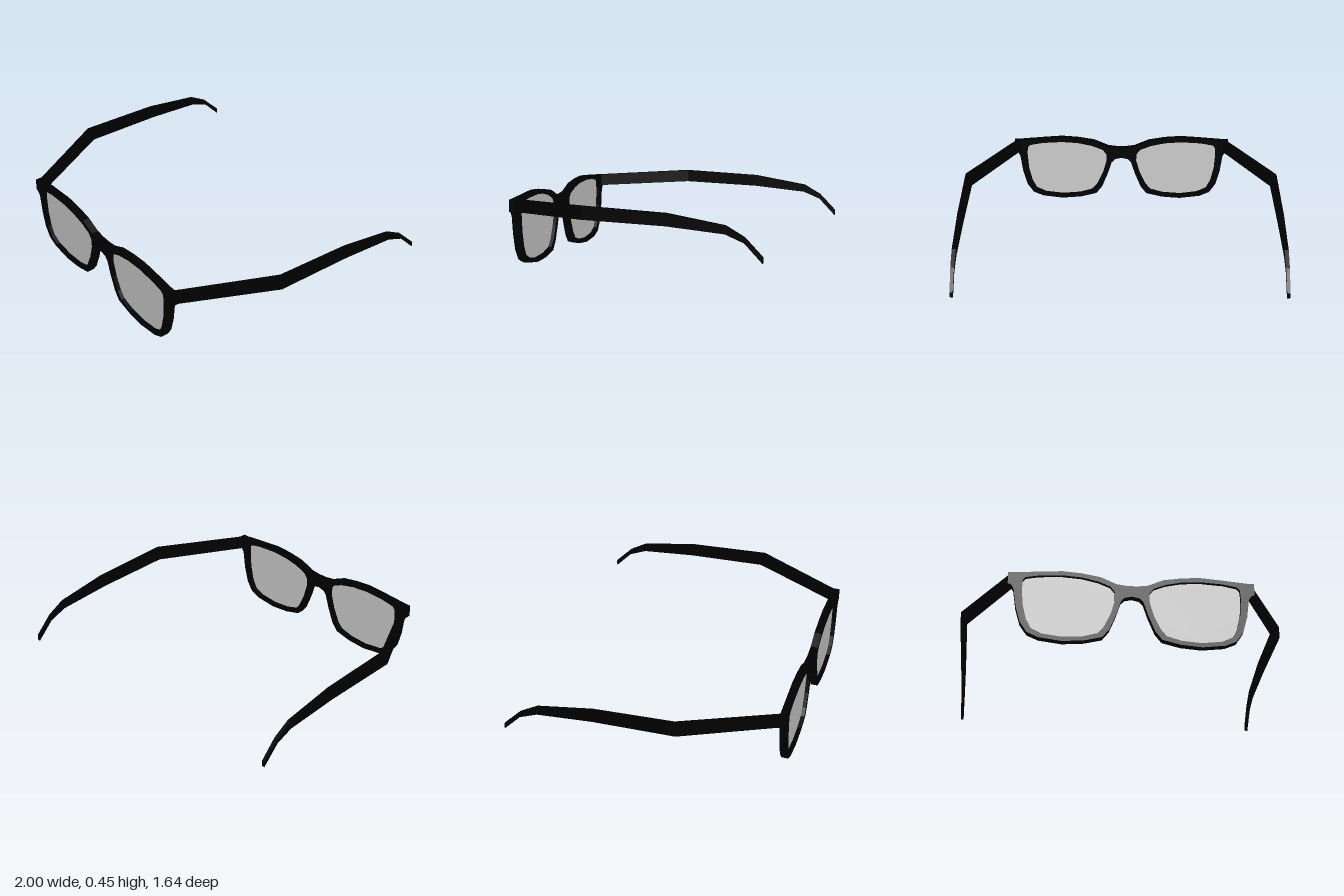
import * as THREE from 'three';

const frameMat = new THREE.MeshStandardMaterial({ color: 0x000000, flatShading: true });
const lensMat = new THREE.MeshStandardMaterial({ color: 0xc2c2c2, side: THREE.DoubleSide });

// Half outline of the front frame, from bridge top round to bridge underside
const OUTER = [
  [0.03, 0.378], [0.09, 0.386], [0.185, 0.428], [0.295, 0.447], [0.405, 0.455], [0.54, 0.445], [0.69, 0.432],
  [0.725, 0.432], [0.725, 0.358], [0.705, 0.35], [0.69, 0.325], [0.675, 0.21], [0.648, 0.11], [0.607, 0.048],
  [0.54, 0.018], [0.405, 0.001], [0.28, 0.011], [0.173, 0.038], [0.133, 0.09], [0.093, 0.19],
  [0.066, 0.275], [0.045, 0.298], [0, 0.309],
];
// Lens opening
const RIM = [
  [0.622, 0.403], [0.54, 0.419], [0.405, 0.427], [0.295, 0.419], [0.2, 0.398], [0.127, 0.368], [0.103, 0.335],
  [0.101, 0.28], [0.126, 0.19], [0.165, 0.105], [0.2, 0.062], [0.287, 0.037], [0.405, 0.028], [0.523, 0.043],
  [0.585, 0.074], [0.614, 0.132], [0.635, 0.225], [0.642, 0.33], [0.638, 0.383],
];
// Temple sections: [z outer, z inner, x outer, x inner, y top, y bottom]
const TEMPLE = [
  [0.785, 0.785, 0.722, 0.684, 0.432, 0.358],
  [0.247, 0.23, 1.0, 0.961, 0.451, 0.375],
  [-0.26, -0.26, 0.997, 0.965, 0.433, 0.361],
  [-0.605, -0.605, 0.994, 0.969, 0.38, 0.332],
  [-0.715, -0.715, 0.993, 0.971, 0.319, 0.287],
  [-0.82, -0.82, 0.992, 0.973, 0.213, 0.178],
];

const toPoints = (list, side = 1) => list.map(([x, y]) => new THREE.Vector2(x * side, y));

// Four-sided bar lofted through the temple sections, with capped ends
function templeGeometry(side) {
  const positions = [];
  const rings = TEMPLE.map(([zo, zi, xo, xi, top, bottom]) => [
    [xo * side, top, zo], [xi * side, top, zi], [xi * side, bottom, zi], [xo * side, bottom, zo],
  ]);
  const quad = (a, b, c, d) => {
    const order = side > 0 ? [a, b, c, a, c, d] : [a, c, b, a, d, c];
    order.forEach((p) => positions.push(...p));
  };
  for (let i = 0; i < rings.length - 1; i++) {
    for (let j = 0; j < 4; j++) {
      const k = (j + 1) % 4;
      quad(rings[i][j], rings[i + 1][j], rings[i + 1][k], rings[i][k]);
    }
  }
  quad(...rings[0]);
  quad(...rings[rings.length - 1].slice().reverse());
  const geometry = new THREE.BufferGeometry();
  geometry.setAttribute('position', new THREE.Float32BufferAttribute(positions, 3));
  geometry.computeVertexNormals();
  return geometry;
}

export function createModel() {
  const group = new THREE.Group();
  group.name = 'eyeglasses';
  const add = (name, geometry, material) => {
    const mesh = new THREE.Mesh(geometry, material);
    mesh.name = name;
    group.add(mesh);
    return mesh;
  };

  // Front frame: mirrored outline, counter-clockwise, with two openings
  const leftHalf = toPoints(OUTER).reverse();
  const rightHalf = toPoints(OUTER.slice(0, -1), -1);
  const frame = new THREE.Shape([...leftHalf, ...rightHalf]);
  // Both openings run clockwise so their inner walls face the lenses
  frame.holes.push(new THREE.Path(toPoints(RIM).reverse()), new THREE.Path(toPoints(RIM, -1)));
  const frameGeometry = new THREE.ExtrudeGeometry(frame, { depth: 0.044, bevelEnabled: false });
  add('frontFrame', frameGeometry, frameMat).position.z = 0.778;

  // Lenses and temples on both sides
  for (const [side, label] of [[1, 'left'], [-1, 'right']]) {
    const lens = new THREE.ShapeGeometry(new THREE.Shape(toPoints(RIM, side)));
    add(label + 'Lens', lens, lensMat).position.z = 0.8;
    add(label + 'Temple', templeGeometry(side), frameMat);
  }
  return group;
}
